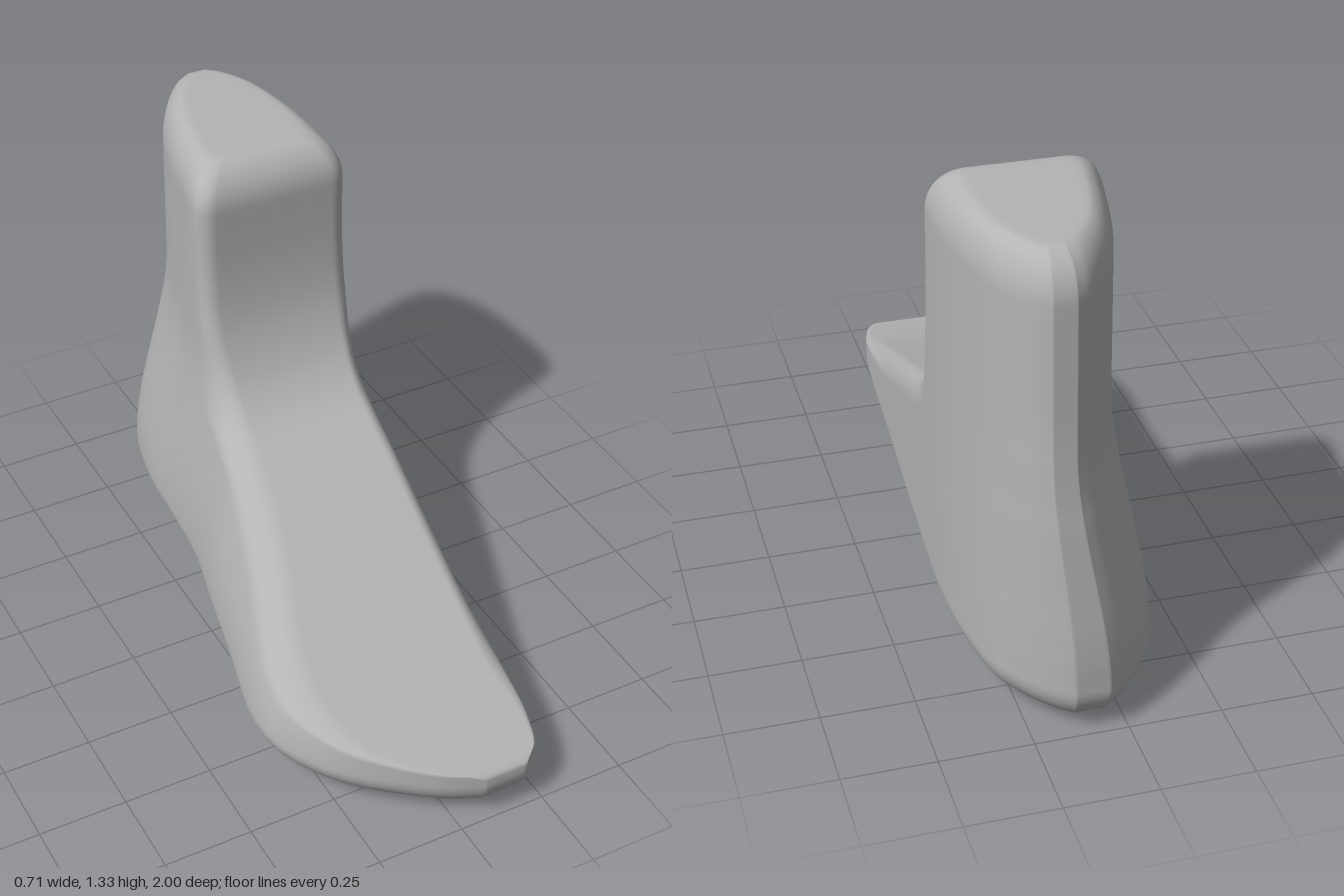
import * as THREE from 'three';

// Smooth curve through [position, value] pairs
function smoothTable(pts) {
  const n = pts.length;
  const slope = pts.map((_, i) => {
    const a = pts[Math.max(0, i - 1)], b = pts[Math.min(n - 1, i + 1)];
    return (b[1] - a[1]) / (b[0] - a[0]);
  });
  return (v) => {
    const z = THREE.MathUtils.clamp(v, pts[0][0], pts[n - 1][0]);
    let i = 0;
    while (i < n - 2 && z > pts[i + 1][0]) i++;
    const [z0, a] = pts[i], [z1, b] = pts[i + 1];
    const h = z1 - z0, t = (z - z0) / h, t2 = t * t, t3 = t2 * t;
    return a * (2 * t3 - 3 * t2 + 1) + slope[i] * h * (t3 - 2 * t2 + t)
      + b * (3 * t2 - 2 * t3) + slope[i + 1] * h * (t3 - t2);
  };
}

// Plan outline of the foot: [z, x]
const footInner = smoothTable([[-1, 0.05], [-0.98, 0.02], [-0.95, -0.015], [-0.9, -0.06], [-0.8, -0.12],
  [-0.6, -0.165], [-0.4, -0.18], [-0.2, -0.202], [0, -0.25], [0.2, -0.295], [0.4, -0.345], [0.5, -0.36],
  [0.6, -0.35], [0.7, -0.305], [0.8, -0.23], [0.9, -0.11], [0.96, -0.02], [1, 0.07]]);
const footOuter = smoothTable([[-1, 0.14], [-0.98, 0.17], [-0.95, 0.205], [-0.9, 0.25], [-0.8, 0.31],
  [-0.6, 0.347], [-0.4, 0.355], [0, 0.335], [0.4, 0.31], [0.8, 0.285], [0.9, 0.265], [0.96, 0.24], [1, 0.19]]);
// Plan outline of the leg, in the same z range at the back
const legInner = smoothTable([[-1, 0.13], [-0.97, 0.09], [-0.9, 0.04], [-0.8, -0.01], [-0.65, -0.055],
  [-0.5, -0.085], [-0.38, -0.105], [-0.25, -0.11], [1, -0.11]]);
const legOuter = smoothTable([[-1, 0.19], [-0.97, 0.225], [-0.9, 0.27], [-0.8, 0.31], [-0.6, 0.345],
  [-0.4, 0.355], [0, 0.335], [0.4, 0.31], [1, 0.28]]);

// Side profile: height, front z, back z
const profile = [[0, 1, -1], [0.003, 1, -1], [0.012, 1, -1], [0.03, 1, -1], [0.06, 1, -1], [0.1, 1, -1],
  [0.14, 1, -1], [0.155, 0.997, -1], [0.167, 0.98, -1], [0.174, 0.95, -1], [0.183, 0.91, -1],
  [0.2, 0.84, -1], [0.23, 0.74, -0.999], [0.3, 0.565, -0.995], [0.4, 0.33, -0.985], [0.5, 0.1, -0.975],
  [0.55, -0.025, -0.97], [0.6, -0.125, -0.965], [0.66, -0.19, -0.957], [0.74, -0.24, -0.95],
  [0.85, -0.28, -0.943], [1, -0.302, -0.94], [1.2, -0.306, -0.936], [1.26, -0.306, -0.935],
  [1.3, -0.306, -0.935], [1.318, -0.306, -0.935], [1.325, -0.306, -0.935]];

const SIDE = 48, EDGE = 14;

// Rounding of the sole edge and of the leg's top edge
function edgeInset(y) {
  const arc = (d) => 1 - Math.sqrt(Math.max(0, 1 - d * d));
  if (y < 0.13) return 0.16 * arc((0.13 - y) / 0.13);
  if (y > 1.2) return 0.1 * arc(Math.min(1, (y - 1.2) / 0.125));
  return 0;
}

// One closed horizontal cross-section, running back, outer side, front, inner side
function section(y, front, back) {
  const { smoothstep, lerp } = THREE.MathUtils;
  const w = smoothstep(y, 0.1, 0.8);
  const instep = smoothstep(y, 0.17, 0.32) * (1 - smoothstep(y, 0.5, 0.85));
  const depth = 0.05 + 0.13 * instep;
  const inset = edgeInset(y), mid = (front + back) / 2, half = (front - back) / 2;
  const sides = [];
  for (let i = 0; i <= SIDE; i++) {
    const z = lerp(back, front, (1 - Math.cos(Math.PI * i / SIDE)) / 2);
    const q = z < -0.3 ? -0.3 + (z + 0.3) * 0.7 / (-0.3 - back) : z;
    let l = lerp(footInner(q), legInner(q), w), r = lerp(footOuter(q), legOuter(q), w);
    // soft front corners
    const d = 1 - Math.min(1, (front - z) / depth);
    const k = 1 - Math.sqrt(Math.max(0, 1 - d * d));
    const soft = smoothstep(y, 0.15, 0.25);
    l += k * soft * (0.05 + 0.04 * instep);
    r -= k * soft * 0.05;
    // narrower sole under the arch
    const c = (l + r) / 2, arch = 1 + 0.4 * Math.exp(-((z / 0.35) ** 2));
    const s = (r - l) / 2 * (1 - inset * arch / 0.27);
    sides.push([c - s, c + s, mid + (z - mid) * (1 - inset / half)]);
  }
  const ring = [];
  const [bl, br, bz] = sides[0], [fl, fr, fz] = sides[SIDE];
  for (let i = 0; i < EDGE; i++) ring.push([lerp(bl, br, i / EDGE), y, bz]);
  for (let i = 0; i < SIDE; i++) ring.push([sides[i][1], y, sides[i][2]]);
  for (let i = 0; i < EDGE; i++) ring.push([lerp(fr, fl, i / EDGE), y, fz]);
  for (let i = SIDE; i > 0; i--) ring.push([sides[i][0], y, sides[i][2]]);
  return ring;
}

// Shrinks a section toward its middle to close an end
function shrink(ring, f) {
  const c = [0, 0, 0];
  ring.forEach((p) => p.forEach((v, k) => { c[k] += v / ring.length; }));
  return ring.map((p) => p.map((v, k) => c[k] + (v - c[k]) * f));
}

function loft(rings) {
  const n = rings[0].length, index = [];
  for (let k = 0; k < rings.length - 1; k++) {
    for (let j = 0; j < n; j++) {
      const a = k * n + j, b = k * n + (j + 1) % n;
      index.push(a, a + n, b, b, a + n, b + n);
    }
  }
  const geometry = new THREE.BufferGeometry();
  geometry.setAttribute('position', new THREE.Float32BufferAttribute(rings.flat(2), 3));
  geometry.setIndex(index);
  geometry.computeVertexNormals();
  return geometry;
}

export function createModel() {
  const grey = new THREE.MeshStandardMaterial({ color: 0xb4b4b4 });
  grey.name = 'plain grey';

  // Sections follow the side profile from sole to top
  const curve = new THREE.CatmullRomCurve3(profile.map((p) => new THREE.Vector3(...p)));
  const steps = (profile.length - 1) * 5;
  const rings = [];
  for (let i = 0; i <= steps; i++) {
    const p = curve.getPoint(i / steps);
    rings.push(section(p.x, p.y, p.z));
  }
  const sole = rings[0], top = rings[steps];
  const closed = [shrink(sole, 0), shrink(sole, 0.5), shrink(sole, 0.9), ...rings,
    shrink(top, 0.9), shrink(top, 0.5), shrink(top, 0)];

  const foot = new THREE.Mesh(loft(closed), grey);
  foot.name = 'footAndAnkle';

  const group = new THREE.Group();
  group.name = 'footForm';
  group.add(foot);
  return group;
}
